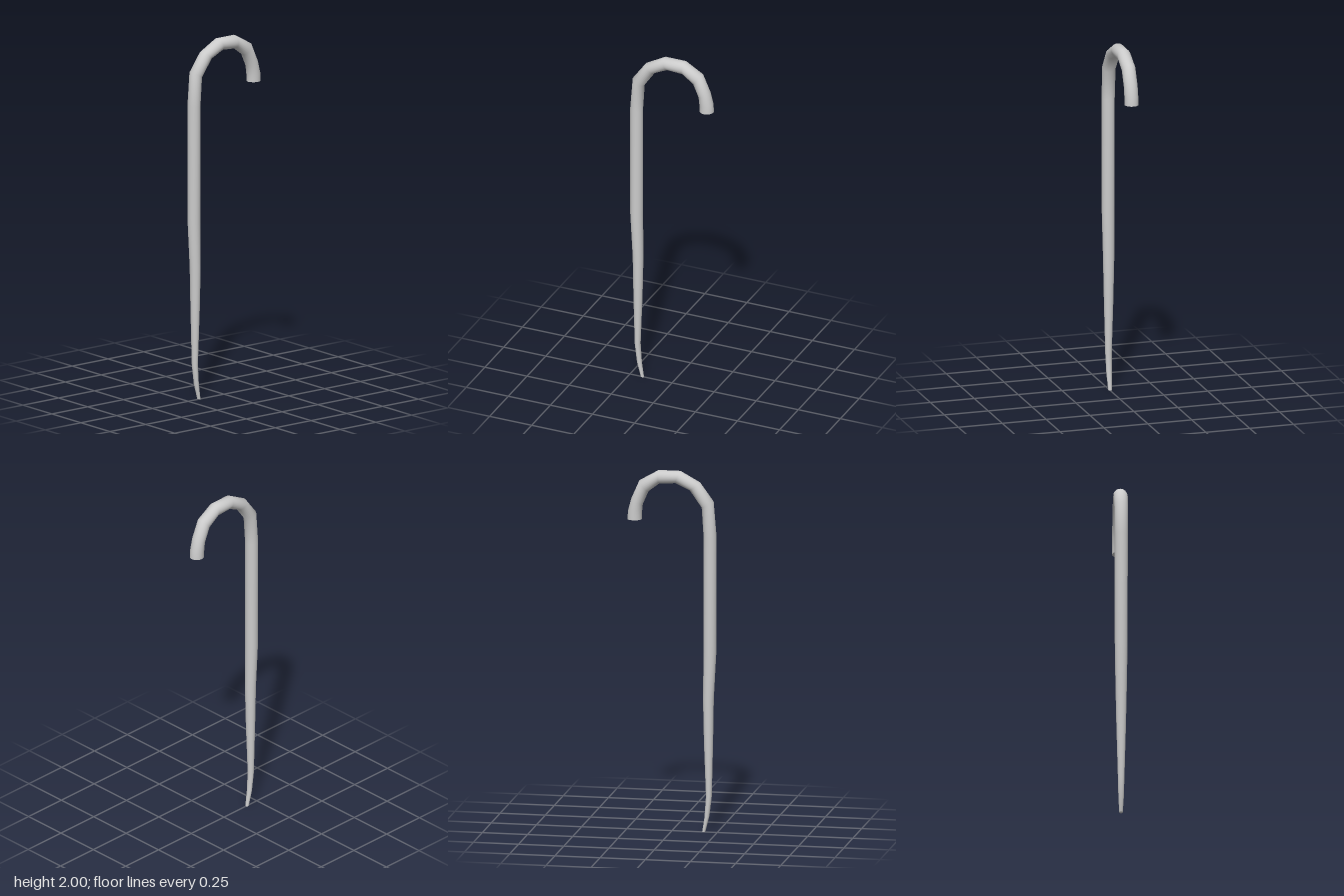
import * as THREE from 'three';

const SIDES = 24;

// Rings from the tip up and round the crook:
// outer edge x, y, inner edge x, y, half depth in z
const RINGS = [
  [-0.185, 0.003, -0.167, 0, 0.01],
  [-0.207, 0.09, -0.18, 0.085, 0.015],
  [-0.22, 0.2, -0.188, 0.2, 0.018],
  [-0.227, 0.5, -0.177, 0.5, 0.026],
  [-0.231, 0.74, -0.172, 0.74, 0.031],
  [-0.245, 1.0, -0.175, 1.0, 0.035],
  [-0.246, 1.645, -0.175, 1.645, 0.036],
  [-0.23, 1.837, -0.165, 1.802, 0.037],
  [-0.155, 1.94, -0.1, 1.895, 0.038],
  [-0.046, 2.0, -0.02, 1.932, 0.038],
  [0.075, 2.0, 0.07, 1.926, 0.038],
  [0.18, 1.94, 0.13, 1.88, 0.038],
  [0.225, 1.838, 0.162, 1.806, 0.038],
  [0.243, 1.77, 0.167, 1.752, 0.038],
  [0.246, 1.723, 0.167, 1.723, 0.038],
];

function ringPoint([xo, yo, xi, yi, rz], j) {
  const a = (j / SIDES) * Math.PI * 2;
  const c = Math.cos(a) / 2;
  return [(xo + xi) / 2 + c * (xo - xi), (yo + yi) / 2 + c * (yo - yi), rz * Math.sin(a)];
}

function makeMesh(name, positions, index) {
  const geo = new THREE.BufferGeometry();
  geo.setAttribute('position', new THREE.Float32BufferAttribute(positions, 3));
  geo.setIndex(index);
  geo.computeVertexNormals();
  const mesh = new THREE.Mesh(geo, new THREE.MeshStandardMaterial({ color: 0xcccccc }));
  mesh.name = name;
  return mesh;
}

// Smooth tapered tube through all rings
function makeStick() {
  const pos = [], index = [];
  for (const ring of RINGS) for (let j = 0; j < SIDES; j++) pos.push(...ringPoint(ring, j));
  for (let i = 0; i < RINGS.length - 1; i++) {
    for (let j = 0; j < SIDES; j++) {
      const k = (j + 1) % SIDES;
      const a = i * SIDES + j, b = i * SIDES + k;
      index.push(a, b, b + SIDES, a, b + SIDES, a + SIDES);
    }
  }
  return makeMesh('caneStick', pos, index);
}

// Flat disc closing one end
function makeCap(name, ring, flip) {
  const pos = [(ring[0] + ring[2]) / 2, (ring[1] + ring[3]) / 2, 0], index = [];
  for (let j = 0; j < SIDES; j++) {
    pos.push(...ringPoint(ring, j));
    const a = j + 1, b = ((j + 1) % SIDES) + 1;
    index.push(0, flip ? b : a, flip ? a : b);
  }
  return makeMesh(name, pos, index);
}

export function createModel() {
  const group = new THREE.Group();
  group.name = 'walkingCane';
  group.add(
    makeStick(),
    makeCap('tipCap', RINGS[0], true),
    makeCap('handleEndCap', RINGS[RINGS.length - 1], false)
  );
  return group;
}
